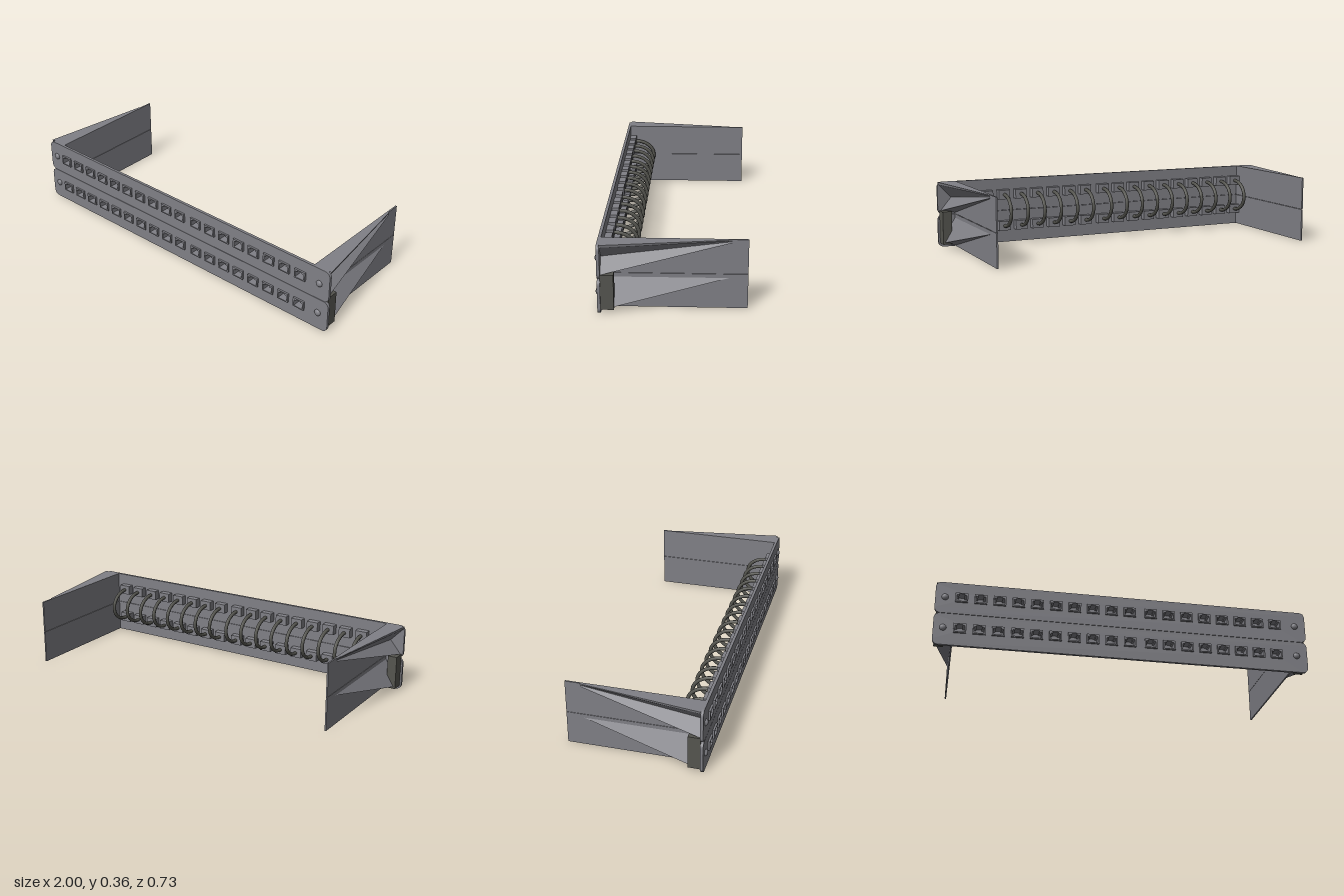
import * as THREE from 'three';

const steel = new THREE.MeshStandardMaterial({ color: 0x808086 });
steel.name = 'grey steel';
const dark = new THREE.MeshStandardMaterial({ color: 0x55554f });
dark.name = 'dark rubber';

const ROWS = [0.096, 0.272];
const COLUMNS = [];
for (let i = 0; i < 18; i++) COLUMNS.push(i < 10 ? -0.864 + i * 0.0986 : 0.136 + (i - 10) * 0.0986);

function add(parent, name, geometry, material, x = 0, y = 0, z = 0) {
  const mesh = new THREE.Mesh(geometry, material);
  mesh.name = name;
  mesh.position.set(x, y, z);
  parent.add(mesh);
  return mesh;
}

function rectPath(target, x0, y0, x1, y1) {
  target.moveTo(x0, y0);
  target.lineTo(x1, y0);
  target.lineTo(x1, y1);
  target.lineTo(x0, y1);
  target.closePath();
  return target;
}

// Rounded front panel with one opening per socket
function panelGeometry(y0, y1, rowY) {
  const r = 0.03, s = new THREE.Shape();
  s.moveTo(-1 + r, y0);
  s.lineTo(1 - r, y0);
  s.absarc(1 - r, y0 + r, r, -Math.PI / 2, 0);
  s.absarc(1 - r, y1 - r, r, 0, Math.PI / 2);
  s.absarc(-1 + r, y1 - r, r, Math.PI / 2, Math.PI);
  s.absarc(-1 + r, y0 + r, r, Math.PI, Math.PI * 1.5);
  for (const x of COLUMNS) s.holes.push(rectPath(new THREE.Path(), x - 0.03, rowY - 0.023, x + 0.03, rowY + 0.023));
  return new THREE.ExtrudeGeometry(s, { depth: 0.015, bevelEnabled: false, curveSegments: 6 });
}

// Socket frame with a keyed opening
function socketGeometry() {
  const s = rectPath(new THREE.Shape(), -0.033, -0.026, 0.033, 0.026);
  const h = new THREE.Path();
  [[-0.026, -0.02], [0.026, -0.02], [0.026, 0.014], [0.014, 0.014], [0.014, 0.021],
    [-0.014, 0.021], [-0.014, 0.014], [-0.026, 0.014]].forEach(([x, y], i) => (i ? h.lineTo(x, y) : h.moveTo(x, y)));
  h.closePath();
  s.holes.push(h);
  return new THREE.ExtrudeGeometry(s, { depth: 0.055, bevelEnabled: false });
}

// Folded sheet narrowing from a front section to a rear section (both lists of [x, y, z])
function foldedGeometry(front, rear) {
  const p = [];
  const tri = (a, b, c) => p.push(...a, ...b, ...c);
  for (let i = 0; i < front.length - 1; i++) {
    tri(front[i], front[i + 1], rear[i]);
    tri(front[i + 1], rear[i + 1], rear[i]);
  }
  const g = new THREE.BufferGeometry();
  g.setAttribute('position', new THREE.Float32BufferAttribute(p, 3));
  g.computeVertexNormals();
  return g;
}

function createModel() {
  const model = new THREE.Group();
  model.name = 'patchPanel';
  const sheet = steel.clone();
  sheet.name = 'grey folded steel';
  sheet.side = THREE.DoubleSide;

  // Two stacked front panels
  add(model, 'lowerPanel', panelGeometry(0, 0.178, ROWS[0]), steel, 0, 0, 0.338);
  add(model, 'upperPanel', panelGeometry(0.18, 0.358, ROWS[1]), steel, 0, 0, 0.338);

  // Sockets and the cables joining each pair
  const socket = socketGeometry();
  const socketBack = new THREE.BoxGeometry(0.066, 0.052, 0.01);
  const points = [];
  for (let i = 0; i <= 12; i++) {
    const a = -Math.PI / 2 + (i / 12) * Math.PI;
    points.push(new THREE.Vector3(0, 0.184 + 0.088 * Math.sin(a), 0.302 - 0.11 * Math.cos(a)));
  }
  const cable = new THREE.TubeGeometry(new THREE.CatmullRomCurve3(points), 28, 0.01, 8);
  for (const x of COLUMNS) {
    for (const y of ROWS) {
      add(model, 'socket', socket, steel, x, y, 0.308);
      add(model, 'socketBack', socketBack, steel, x, y, 0.307);
    }
    add(model, 'cable', cable, dark, x);
  }

  // Domed screws
  const dome = new THREE.SphereGeometry(0.018, 16, 6, 0, Math.PI * 2, 0, Math.PI / 2);
  dome.scale(1, 0.7, 1).rotateX(Math.PI / 2);
  for (const x of [-0.95, 0.94]) for (const y of ROWS) add(model, 'screw', dome, steel, x, y, 0.353);

  // Folded gussets outside each side plate
  const upper = foldedGeometry(
    [[0.903, 0.358, 0.34], [0.998, 0.358, 0.34], [0.995, 0.345, 0.34], [0.925, 0.272, 0.34], [0.985, 0.2, 0.34], [0.903, 0.185, 0.34]],
    [[0.903, 0.358, -0.285], [0.91, 0.358, -0.285], [0.91, 0.354, -0.285], [0.907, 0.348, -0.285], [0.91, 0.342, -0.285], [0.903, 0.34, -0.285]]);
  const tip = [0.904, 0.16, -0.28];
  const lower = foldedGeometry(
    [[0.903, 0.16, 0.34], [0.99, 0.018, 0.34], [0.903, 0.002, 0.34]], [tip, tip, tip]);
  const sidePlate = new THREE.BoxGeometry(0.008, 0.178, 0.705);
  const tab = new THREE.BoxGeometry(0.05, 0.18, 0.064);

  for (const side of [1, -1]) {
    const bracket = new THREE.Group();
    bracket.name = side > 0 ? 'leftBracket' : 'rightBracket';
    add(bracket, 'lowerSidePlate', sidePlate, steel, 0.901, 0.089, -0.0125);
    add(bracket, 'upperSidePlate', sidePlate, steel, 0.901, 0.269, -0.0125);
    add(bracket, 'upperGusset', upper, sheet);
    add(bracket, 'lowerGusset', lower, sheet);
    add(bracket, 'endTab', tab, dark, 0.966, 0.112, 0.307);
    bracket.scale.x = side;
    model.add(bracket);
  }
  return model;
}

export { createModel };
